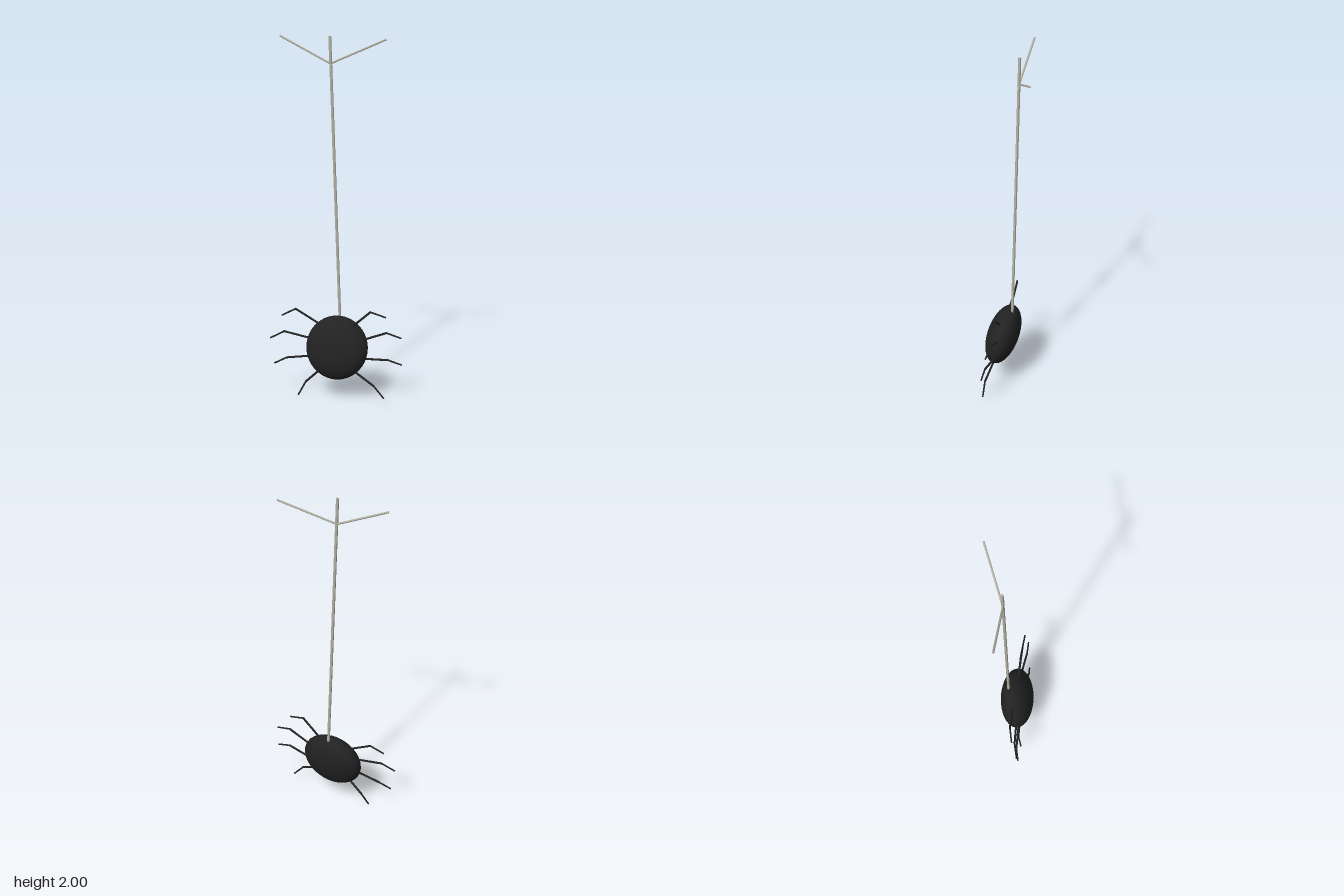
import * as THREE from 'three';

const black = new THREE.MeshStandardMaterial({ color: 0x222222, flatShading: true });
const silk = new THREE.MeshStandardMaterial({ color: 0xb5b3a4, flatShading: true });

// Straight rod between two points
function rod(name, from, to, r0, r1, sides, material) {
  const a = new THREE.Vector3(...from), b = new THREE.Vector3(...to);
  const dir = b.clone().sub(a);
  const mesh = new THREE.Mesh(new THREE.CylinderGeometry(r1, r0, dir.length(), sides), material);
  mesh.name = name;
  mesh.position.copy(a).add(b).multiplyScalar(0.5);
  mesh.quaternion.setFromUnitVectors(new THREE.Vector3(0, 1, 0), dir.normalize());
  return mesh;
}

export function createModel() {
  const model = new THREE.Group();
  model.name = 'hangingSpider';

  // Flattened body, leaning back at the top
  const body = new THREE.Mesh(new THREE.SphereGeometry(1, 32, 24), black);
  body.name = 'body';
  body.scale.set(0.177, 0.177, 0.09);
  body.rotation.x = -THREE.MathUtils.degToRad(14);
  body.position.set(0, 0.295, 0.052);
  model.add(body);

  // Legs: root, knee, tip
  const legs = {
    rightLeg1: [[-0.1, 0.412, 0.035], [-0.248, 0.49, 0.036], [-0.325, 0.45, 0.055]],
    rightLeg2: [[-0.14, 0.336, 0.064], [-0.305, 0.363, 0.07], [-0.381, 0.322, 0.091]],
    rightLeg3: [[-0.14, 0.24, 0.077], [-0.288, 0.213, 0.08], [-0.355, 0.178, 0.098]],
    rightLeg4: [[-0.08, 0.174, 0.08], [-0.175, 0.083, 0.08], [-0.213, 0.006, 0.101]],
    leftLeg1: [[0.09, 0.427, 0.048], [0.192, 0.52, 0.05], [0.281, 0.499, 0.054]],
    leftLeg2: [[0.14, 0.35, 0.045], [0.284, 0.41, 0.05], [0.37, 0.39, 0.055]],
    leftLeg3: [[0.14, 0.246, 0.052], [0.302, 0.265, 0.077], [0.381, 0.246, 0.078]],
    leftLeg4: [[0.1, 0.182, 0.077], [0.228, 0.114, 0.1], [0.287, 0.046, 0.098]],
  };
  for (const [name, [root, knee, tip]] of Object.entries(legs)) {
    const leg = new THREE.Group();
    leg.name = name;
    leg.add(rod('upperLeg', root, knee, 0.006, 0.006, 8, black));
    leg.add(rod('lowerLeg', knee, tip, 0.005, 0.0045, 8, black));
    const joint = new THREE.Mesh(new THREE.SphereGeometry(0.0055, 8, 6), black);
    joint.name = 'kneeJoint';
    joint.position.set(...knee);
    leg.add(joint);
    model.add(leg);
  }

  // Long thread and its two anchor strands
  const fork = [-0.06, 1.856, -0.021];
  model.add(rod('thread', [0.002, 0.4, 0], [-0.064, 2, -0.023], 0.008, 0.008, 6, silk));
  model.add(rod('rightStrand', fork, [-0.349, 1.994, -0.031], 0.0055, 0.0055, 6, silk));
  model.add(rod('leftStrand', fork, [0.212, 1.98, -0.146], 0.0055, 0.0055, 6, silk));
  return model;
}
